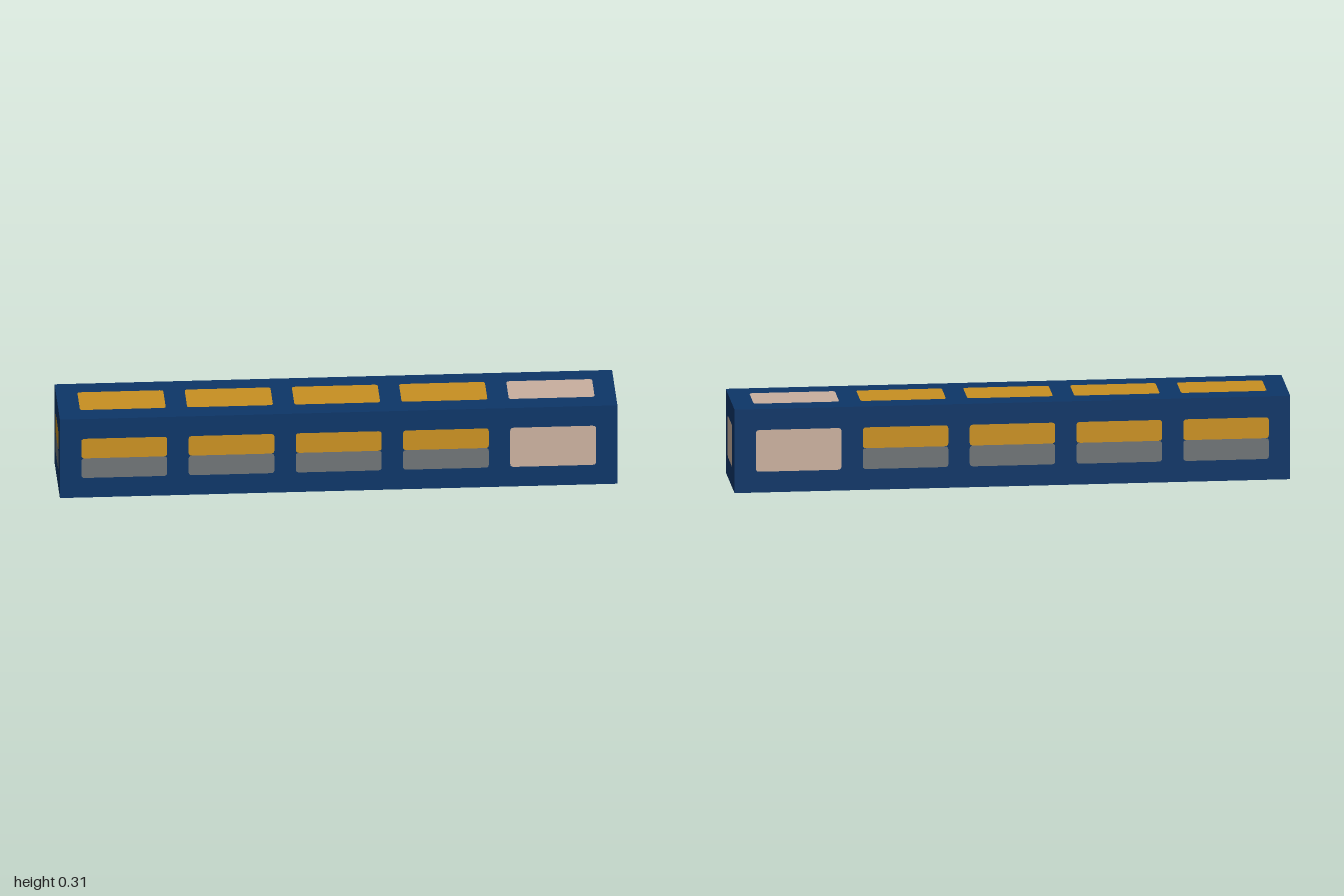
import * as THREE from 'three';

const mat = (name, color) => new THREE.MeshStandardMaterial({ name, color });

export function createModel() {
  const navy = mat('navy', 0x0d3668);
  const amber = mat('amber', 0xc99022);
  const grey = mat('grey', 0x6f7476);
  const beige = mat('beige', 0xcab09f);

  const S = 0.308, H = S / 2;      // beam section and half section
  const PITCH = 2 / 5.2;           // spacing of the panels along the beam
  const LIFT = 0.001;              // panels sit just proud of the beam

  const group = new THREE.Group();
  group.name = 'panelledBeam';

  const beam = new THREE.Mesh(new THREE.BoxGeometry(2, S, S), navy);
  beam.name = 'beam';
  beam.position.y = H;
  group.add(beam);

  // Flat panel with slightly rounded corners, centred on (0, v)
  function panel(name, w, h, v, material) {
    const r = 0.012, x = w / 2, y = h / 2;
    const s = new THREE.Shape();
    s.moveTo(-x + r, -y);
    s.lineTo(x - r, -y).quadraticCurveTo(x, -y, x, -y + r);
    s.lineTo(x, y - r).quadraticCurveTo(x, y, x - r, y);
    s.lineTo(-x + r, y).quadraticCurveTo(-x, y, -x, y - r);
    s.lineTo(-x, -y + r).quadraticCurveTo(-x, -y, -x + r, -y);
    const mesh = new THREE.Mesh(new THREE.ShapeGeometry(s, 3), material);
    mesh.name = name;
    mesh.position.y = v;
    return mesh;
  }

  // Places panels on one face of the beam
  function onFace(name, x, y, z, rx, ry, ...panels) {
    const face = new THREE.Group();
    face.name = name;
    face.position.set(x, y, z);
    face.rotation.set(rx, ry, 0);
    face.add(...panels);
    group.add(face);
  }

  const twoTone = (w) => [
    panel('amberUpperPanel', w, H / 2, H / 4, amber),
    panel('greyLowerPanel', w, H / 2, -H / 4, grey),
  ];
  const plain = (w, material) => [panel('plainPanel', w, H, 0, material)];

  // Five panels on each long side; the last one, at +x, is beige
  for (let i = 0; i < 5; i++) {
    const x = (i - 2) * PITCH, last = i === 4;
    const side = () => (last ? plain(S, beige) : twoTone(S));
    onFace('frontPanel', x, H, H + LIFT, 0, 0, ...side());
    onFace('backPanel', x, H, -H - LIFT, 0, Math.PI, ...side());
    onFace('topPanel', x, S + LIFT, 0, -Math.PI / 2, 0, ...plain(S, last ? beige : amber));
    onFace('bottomPanel', x, -LIFT, 0, Math.PI / 2, 0, ...plain(S, last ? beige : grey));
  }

  // End panels
  onFace('beigeEndPanel', 1 + LIFT, H, 0, 0, Math.PI / 2, ...plain(H, beige));
  onFace('twoToneEndPanel', -1 - LIFT, H, 0, 0, -Math.PI / 2, ...twoTone(H));

  return group;
}
